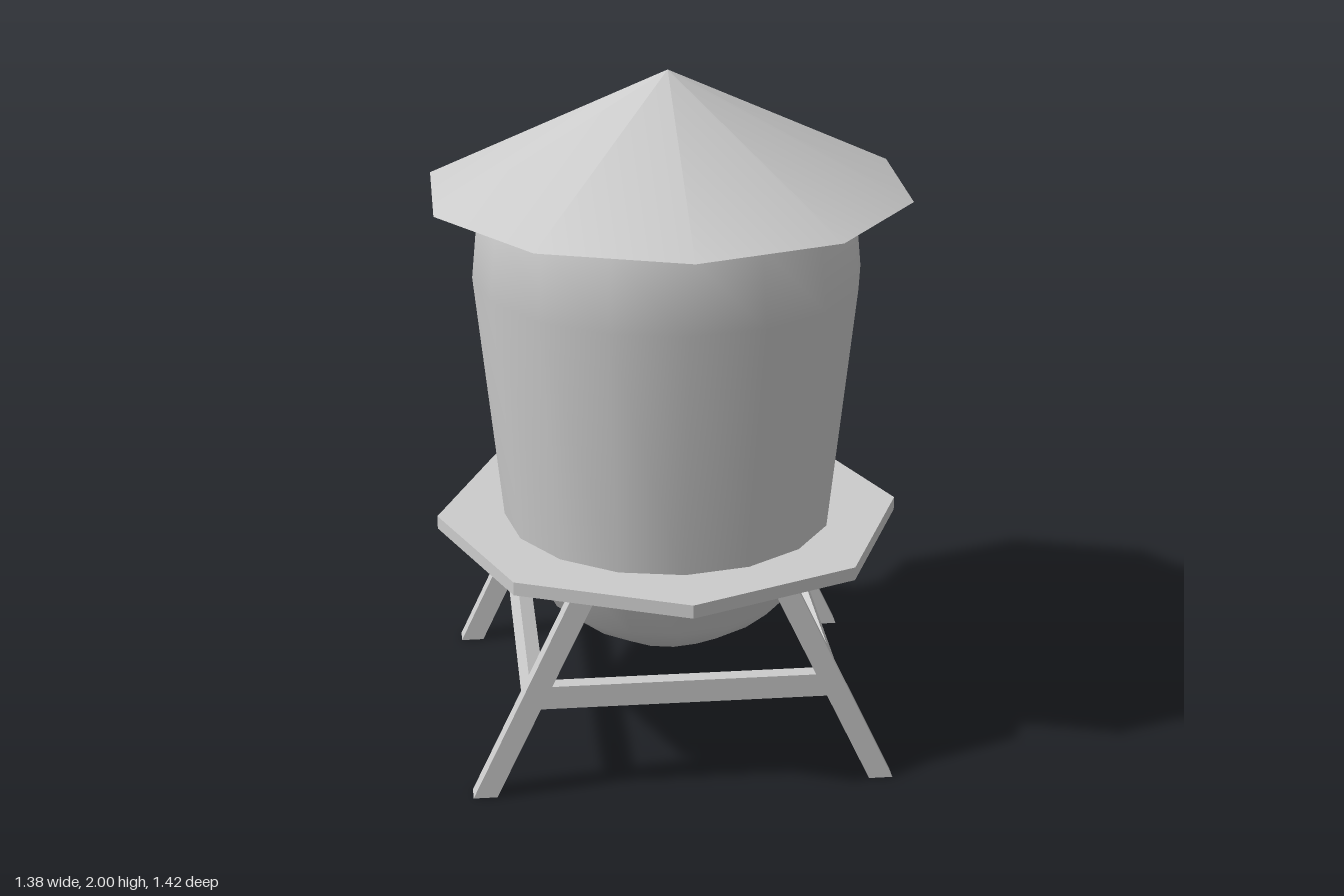
import * as THREE from 'three';

const grey = new THREE.MeshStandardMaterial({ color: 0xcccccc });
const greyFlat = new THREE.MeshStandardMaterial({ color: 0xcccccc, flatShading: true });
const greyOpen = new THREE.MeshStandardMaterial({ color: 0xcccccc, side: THREE.DoubleSide });

export function createModel() {
  const model = new THREE.Group();

  const add = (name, geometry, material, x = 0, y = 0, z = 0) => {
    const mesh = new THREE.Mesh(geometry, material);
    mesh.name = name;
    mesh.position.set(x, y, z);
    model.add(mesh);
    return mesh;
  };

  const lathe = (points, sides) =>
    new THREE.LatheGeometry(points.map(([r, y]) => new THREE.Vector2(r, y)), sides);

  // Ten-sided thin conical roof, open underneath
  add('roof', new THREE.ConeGeometry(0.71, 0.345, 10, 1, true), greyOpen, 0, 1.8275, 0);

  // Tank wall, wider towards the top and drawn in under the roof
  add('tankWall', lathe([[0.487, 0.63], [0.567, 1.4], [0.545, 1.625], [0.5, 1.66], [0.38, 1.73], [0, 1.8]], 16), grey);

  // Rounded bottom of the tank
  add('tankBowl', lathe([[0, 0.235], [0.18, 0.275], [0.3, 0.345], [0.375, 0.41], [0.475, 0.61], [0.487, 0.65]], 16), grey);

  // Octagonal platform
  add('platform', new THREE.CylinderGeometry(0.69, 0.69, 0.04, 8), greyFlat, 0, 0.635, 0);

  // Splayed legs, cut level at the foot and at the platform
  const legZ = 0.515, legDepth = 0.055, legShift = -0.007;
  const legShape = (side) => {
    const corners = [[0.578, 0], [0.612, 0], [0.322, 0.62], [0.252, 0.62]];
    corners[0][0] = 0.543;
    return new THREE.Shape(corners.map(([x, y]) => new THREE.Vector2(side * x + legShift, y)));
  };
  for (const side of [-1, 1]) {
    for (const end of [-1, 1]) {
      const leg = new THREE.ExtrudeGeometry(legShape(side), { depth: legDepth, bevelEnabled: false });
      add((end > 0 ? 'front' : 'back') + (side > 0 ? 'Left' : 'Right') + 'Leg',
        leg, greyFlat, 0, 0, end * legZ - legDepth / 2);
    }

    // Side brace, tilted to follow the legs
    const brace = add(side > 0 ? 'leftBrace' : 'rightBrace',
      new THREE.BoxGeometry(0.047, 0.055, 2 * legZ), greyFlat, side * 0.432 + legShift, 0.31, 0);
    brace.rotation.z = side * 0.44;

    // Level brace across the front or back pair of legs
    add(side > 0 ? 'frontBrace' : 'backBrace',
      new THREE.BoxGeometry(0.83, 0.07, 0.045), greyFlat, legShift, 0.31, side * legZ);
  }

  return model;
}
